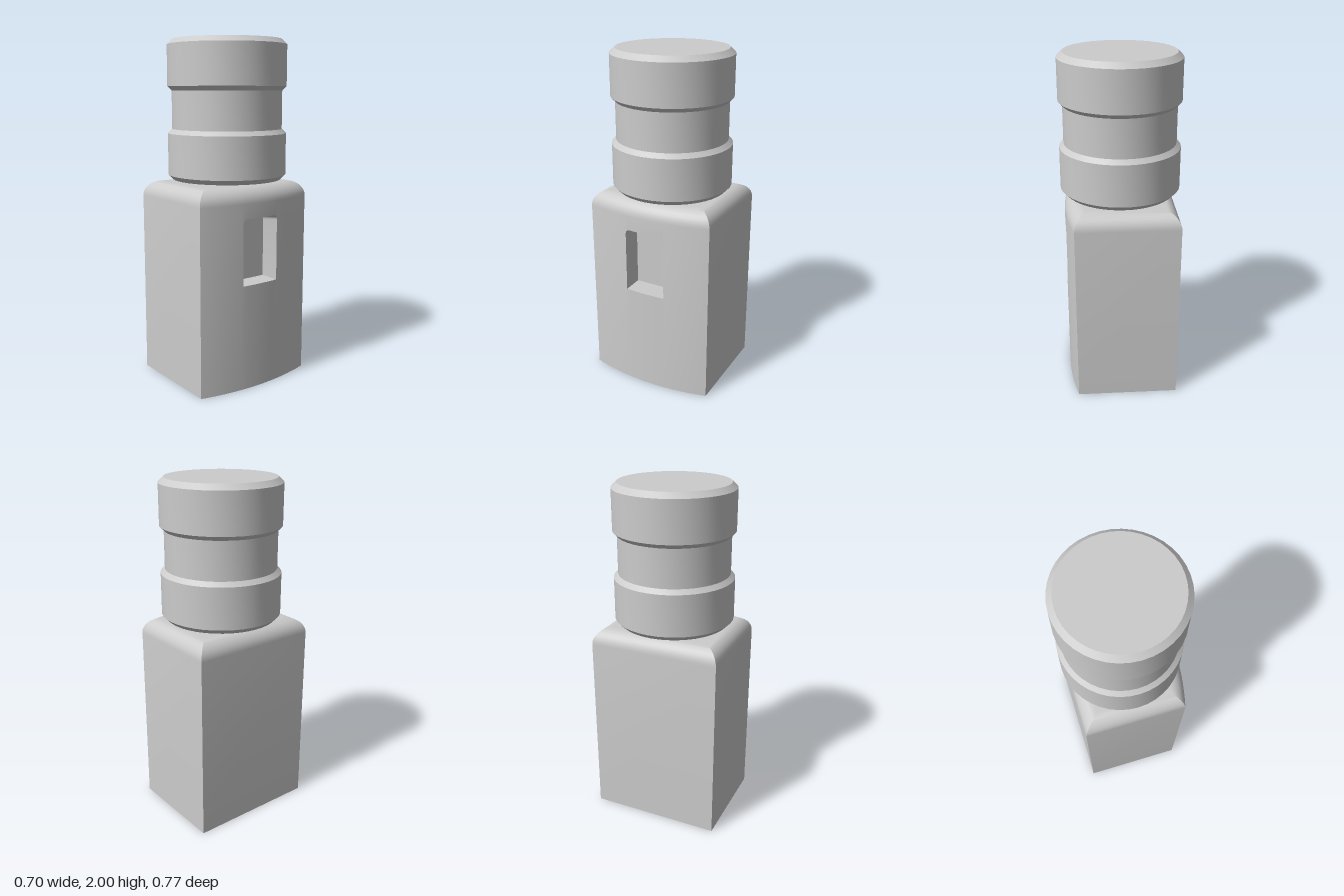
import * as THREE from 'three';
import { toCreasedNormals } from 'three/addons/utils/BufferGeometryUtils.js';

const LEFT = -0.318, HALF = 0.385, PEAK = 0.328, BULGE = 0.053; // plan of the body
const TOP = 1.18, FILLET = 0.09;
const POCKET = { half: 0.123, bottom: 0.62, top: 1.005, r: 0.028, back: 0.2 };

// Collects quads and triangles, corners counter-clockwise from outside
function surface() {
  const pos = [];
  const tri = (a, b, c) => pos.push(...a, ...b, ...c);
  return {
    tri,
    quad(a, b, c, d) { tri(a, b, c); tri(a, c, d); },
    build() {
      const g = new THREE.BufferGeometry();
      g.setAttribute('position', new THREE.Float32BufferAttribute(pos, 3));
      return toCreasedNormals(g, 0.5);
    },
  };
}

// Bulging side face: x at depth z, for an outline inset by d
const R = (HALF * HALF + BULGE * BULGE) / (2 * BULGE);
const arcX = (z, d = 0) => PEAK - R + Math.sqrt((R - d) ** 2 - z * z);

// Arched upper edge of the pocket
function pocketTop(z) {
  const { half, top, r } = POCKET;
  const over = Math.max(0, Math.abs(z) - (half - r));
  return top - r + Math.sqrt(Math.max(0, r * r - over * over));
}

function bodyGeometry() {
  const s = surface();

  // Depth samples along the bulging side, front to back, denser at pocket corners
  const halfZ = [HALF, 0.34, 0.29, 0.24, 0.18, POCKET.half];
  for (let i = 4; i >= 0; i--) {
    halfZ.push(POCKET.half - POCKET.r + POCKET.r * Math.sin((i / 5) * Math.PI / 2));
  }
  halfZ.push(0.045);
  const zs = [...halfZ, 0, ...halfZ.slice().reverse().map((z) => -z)];

  const outline = (d, y) => {
    const pts = zs.map((z) => {
      const zi = z * (HALF - d) / HALF;
      return [arcX(zi, d), y, zi];
    });
    pts.push([LEFT + d, y, -HALF + d], [LEFT + d, y, HALF - d]);
    return pts;
  };
  const raise = (p, y) => [p[0], y, p[2]];
  const base = outline(0, 0), n = base.length, shoulder = TOP - FILLET;

  // Walls, leaving the pocket open, and the pocket's own inner faces
  base.forEach((a, i) => {
    const b = base[(i + 1) % n];
    const wall = (ya0, yb0, ya1, yb1) =>
      s.quad(raise(a, ya0), raise(b, yb0), raise(b, yb1), raise(a, ya1));
    const inPocket = i < zs.length - 1 && Math.abs((a[2] + b[2]) / 2) < POCKET.half;
    if (!inPocket) return wall(0, 0, shoulder, shoulder);

    const y0 = POCKET.bottom, ta = pocketTop(a[2]), tb = pocketTop(b[2]);
    wall(0, 0, y0, y0);
    wall(ta, tb, shoulder, shoulder);
    const inner = (p, y) => [POCKET.back, y, p[2]];
    const drop = 0.018; // ceiling slopes down towards the back
    s.quad(inner(a, y0), inner(b, y0), inner(b, tb - drop), inner(a, ta - drop));
    s.quad(raise(a, y0), raise(b, y0), inner(b, y0), inner(a, y0));
    s.quad(inner(a, ta - drop), inner(b, tb - drop), raise(b, tb), raise(a, ta));
  });

  // Pocket side walls
  for (const sign of [1, -1]) {
    const z = sign * POCKET.half, x = arcX(z), t = pocketTop(z);
    const c = [[x, POCKET.bottom, z], [POCKET.back, POCKET.bottom, z],
      [POCKET.back, t - 0.018, z], [x, t, z]];
    if (sign < 0) c.reverse();
    s.quad(...c);
  }

  // Rounded, mitred top edge
  const steps = 8;
  let low = outline(0, shoulder);
  for (let k = 1; k <= steps; k++) {
    const t = (k / steps) * Math.PI / 2;
    const high = outline(FILLET * (1 - Math.cos(t)), shoulder + FILLET * Math.sin(t));
    for (let i = 0; i < n; i++) {
      const j = (i + 1) % n;
      s.quad(low[i], low[j], high[j], high[i]);
    }
    low = high;
  }

  // Flat top and underside
  for (let i = 0; i < n; i++) {
    const j = (i + 1) % n;
    s.tri([0, TOP, 0], low[i], low[j]);
    s.tri([0, 0, 0], base[j], base[i]);
  }
  return s.build();
}

function knobGeometry() {
  const profile = [
    [0, 1.195], [0.32, 1.195], [0.348, 1.223], [0.348, 1.465], [0.323, 1.49],
    [0.323, 1.71], [0.348, 1.735], [0.348, 1.97], [0.317, 2], [0, 2],
  ].map(([r, y]) => new THREE.Vector2(r, y));
  return toCreasedNormals(new THREE.LatheGeometry(profile, 40), 0.5);
}

export function createModel() {
  const model = new THREE.Group();
  const material = new THREE.MeshStandardMaterial({ color: 0xcccccc });

  const body = new THREE.Mesh(bodyGeometry(), material);
  body.name = 'body';

  // Grooved round knob hovering just above the body
  const knob = new THREE.Mesh(knobGeometry(), material);
  knob.name = 'knob';
  knob.position.z = -0.006;

  model.add(body, knob);
  return model;
}
